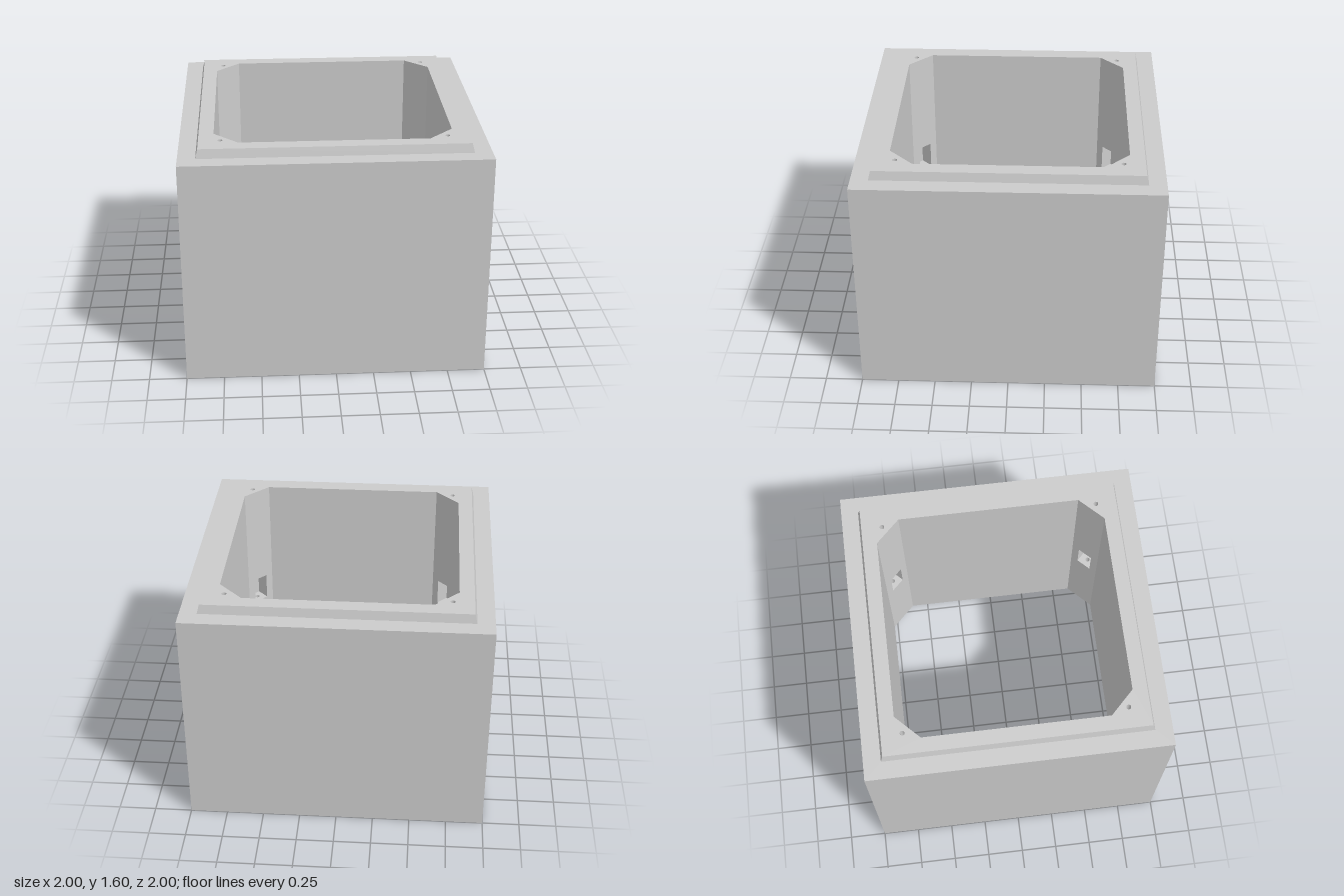
import * as THREE from 'three';

const BASE = 0.06, SHOULDER = 1.54, TOP = 1.6;   // heights of socket roof, shoulder, spigot top
const IN = 0.773, CUT = 0.615;                   // half opening and start of its corner chamfers
const BORE = 0.73, BORE_R = 0.016;               // corner bolt holes
const POCKET = { w: 0.11, y0: 0.68, y1: 0.87, d: 0.1 };

export function createModel() {
  const model = new THREE.Group();
  const grey = new THREE.MeshStandardMaterial({ color: 0xcccccc });
  const flat = new THREE.MeshStandardMaterial({ color: 0xcccccc, flatShading: true });
  const inside = new THREE.MeshStandardMaterial({ color: 0xcccccc, side: THREE.DoubleSide });

  const add = (parent, name, geometry, material = grey) => {
    const mesh = new THREE.Mesh(geometry, material);
    mesh.name = name;
    parent.add(mesh);
    return mesh;
  };
  const circle = (x, y) => new THREE.Path().absarc(x, y, BORE_R, 0, Math.PI * 2, true);
  const points = (list) => list.map(([x, y]) => new THREE.Vector2(x, y));
  const rect = (x0, y0, x1, y1) => points([[x0, y0], [x1, y0], [x1, y1], [x0, y1]]);

  // Outer skin: socket lip, underside rim, walls, shoulder and tapered spigot
  const profile = points([[0.875, BASE], [0.89, 0], [1, 0], [1, SHOULDER], [0.885, SHOULDER], [0.87, TOP]]);
  profile.forEach((p) => { p.x *= Math.SQRT2; });
  const skin = new THREE.LatheGeometry(profile, 4).rotateY(Math.PI / 4).toNonIndexed();
  skin.computeVertexNormals();
  add(model, 'outerShell', skin, flat);

  // Flat ring with chamfered opening and four bolt holes
  const ring = (half) => {
    const shape = new THREE.Shape(rect(-half, -half, half, half));
    shape.holes.push(new THREE.Path(points([
      [IN, CUT], [CUT, IN], [-CUT, IN], [-IN, CUT],
      [-IN, -CUT], [-CUT, -IN], [CUT, -IN], [IN, -CUT],
    ])));
    for (const x of [-BORE, BORE]) for (const y of [-BORE, BORE]) shape.holes.push(circle(x, y));
    return new THREE.ShapeGeometry(shape, 10);
  };
  add(model, 'topRing', ring(0.87).rotateX(-Math.PI / 2)).position.y = TOP;
  add(model, 'socketRoof', ring(0.875).rotateX(Math.PI / 2)).position.y = BASE;

  const { w, y0, y1, d } = POCKET;
  const chamferHalf = (IN - CUT) / Math.SQRT2;
  const chamferDist = (IN + CUT) / Math.SQRT2;
  const boreZ = chamferDist - BORE * Math.SQRT2;  // bore centre behind the chamfer face

  for (let k = 0; k < 4; k++) {
    // Straight inner wall
    const side = new THREE.Group();
    side.name = 'innerSide';
    side.rotation.y = k * Math.PI / 2;
    model.add(side);
    add(side, 'innerWall', new THREE.PlaneGeometry(2 * CUT, TOP - BASE))
      .position.set(0, (TOP + BASE) / 2, -IN);

    // Chamfered corner with a bolt pocket
    const corner = new THREE.Group();
    corner.name = 'innerCorner';
    corner.rotation.y = (k + 0.5) * Math.PI / 2;
    model.add(corner);
    const face = new THREE.Shape(rect(-chamferHalf, BASE, chamferHalf, TOP));
    face.holes.push(new THREE.Path(rect(-w / 2, y0, w / 2, y1)));
    add(corner, 'cornerFace', new THREE.ShapeGeometry(face)).position.z = -chamferDist;

    const midY = (y0 + y1) / 2, midZ = -chamferDist - d / 2;
    add(corner, 'pocketBack', new THREE.PlaneGeometry(w, y1 - y0))
      .position.set(0, midY, -chamferDist - d);
    for (const s of [-1, 1]) {
      add(corner, 'pocketSide', new THREE.PlaneGeometry(d, y1 - y0).rotateY(-s * Math.PI / 2))
        .position.set(s * w / 2, midY, midZ);
      // Pocket floor and ceiling, pierced by the bore
      const slab = new THREE.Shape(rect(-w / 2, -d / 2, w / 2, d / 2));
      slab.holes.push(circle(0, s * (boreZ + d / 2)));
      add(corner, s > 0 ? 'pocketCeiling' : 'pocketFloor',
        new THREE.ShapeGeometry(slab, 10).rotateX(s * Math.PI / 2))
        .position.set(0, s > 0 ? y1 : y0, midZ);
    }

    // Bolt bores below and above the pocket
    for (const [a, b] of [[BASE, y0], [y1, TOP]]) {
      add(corner, 'boltBore', new THREE.CylinderGeometry(BORE_R, BORE_R, b - a, 20, 1, true), inside)
        .position.set(0, (a + b) / 2, -chamferDist + boreZ);
    }
  }
  return model;
}
